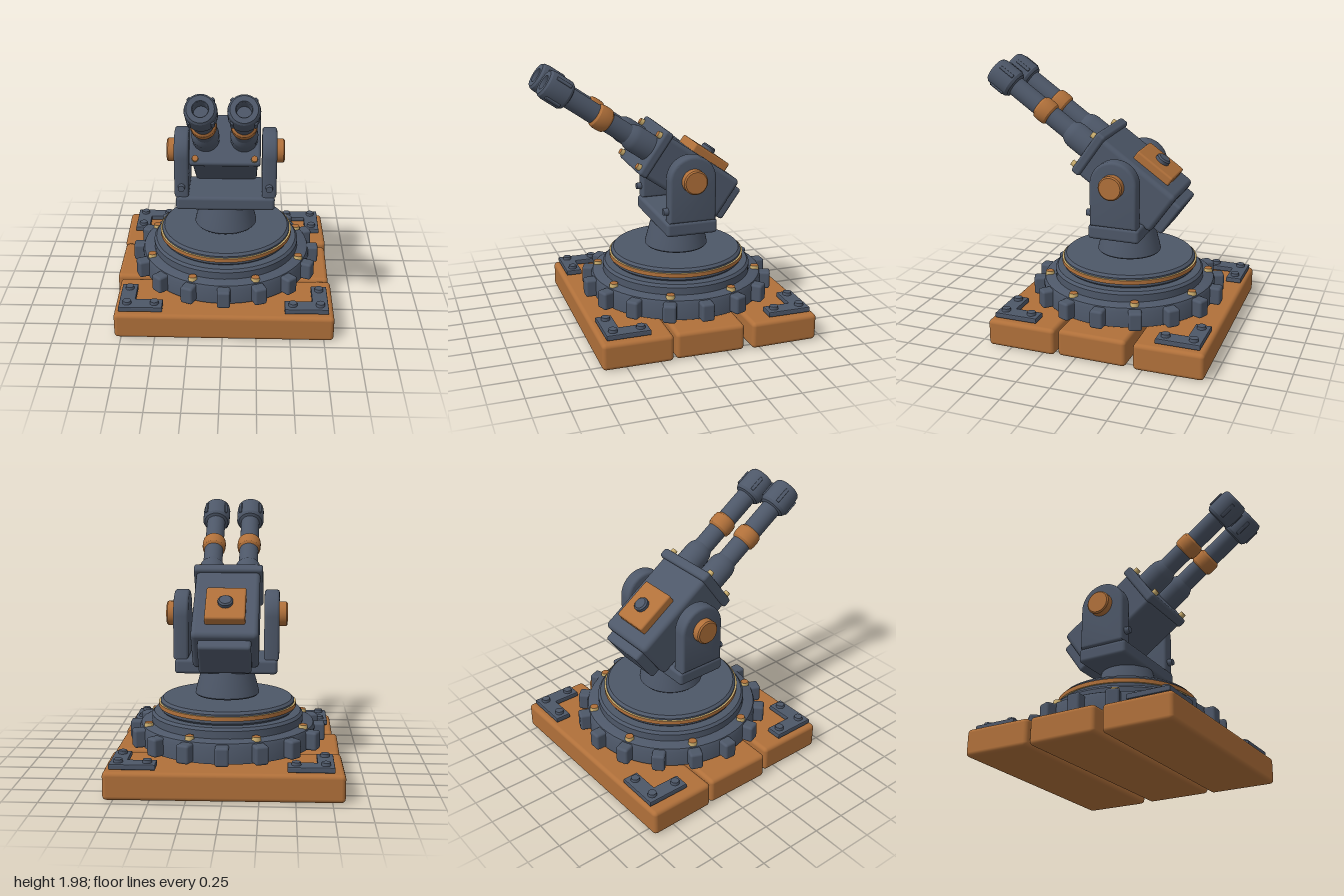
import * as THREE from 'three';
import { toCreasedNormals } from 'three/addons/utils/BufferGeometryUtils.js';
import { RoundedBoxGeometry } from 'three/addons/geometries/RoundedBoxGeometry.js';

const mat = (name, color) => {
  const m = new THREE.MeshStandardMaterial({ color });
  m.name = name;
  return m;
};

export function createModel() {
  const model = new THREE.Group();
  model.name = 'twinBarrelTurret';
  const slate = mat('slate metal', 0x4d5768);
  const copper = mat('copper brown', 0xb0703a);
  const gold = mat('gold edge', 0xcdb070);

  const add = (parent, name, geometry, material, x = 0, y = 0, z = 0) => {
    const mesh = new THREE.Mesh(geometry, material);
    mesh.name = name;
    mesh.position.set(x, y, z);
    parent.add(mesh);
    return mesh;
  };
  const group = (parent, name, x, y, z) => {
    const g = new THREE.Group();
    g.name = name;
    g.position.set(x, y, z);
    parent.add(g);
    return g;
  };
  const box = (w, h, d, r) => new RoundedBoxGeometry(w, h, d, 3, r);
  // Turned part: [radius, height] points from bottom to top
  const turned = (points, sides = 48) =>
    toCreasedNormals(new THREE.LatheGeometry(points.map(p => new THREE.Vector2(...p)), sides), 0.5);
  const bolt = (r, h) => new THREE.CylinderGeometry(r * 0.9, r, h, 12);
  const brass = [gold, copper, copper];

  // Plank floor, each plank slightly crooked
  const planks = [
    [-0.005, -0.68, 1.66, 0.51, 0.013],
    [-0.007, -0.133, 1.64, 0.515, -0.014],
    [0.012, 0.413, 1.62, 0.52, -0.005],
  ];
  for (const [x, z, w, d, turn] of planks)
    add(model, 'plank', box(w, 0.2, d, 0.03), copper, x, 0.105, z).rotation.y = turn;

  const turret = group(model, 'turret', 0.008, 0, -0.13);

  // Corner brackets with three bolts each
  for (const sx of [-1, 1]) for (const sz of [-1, 1]) {
    const bracket = group(turret, 'cornerBracket', sx * 0.772, 0.215, sz * 0.77 - 0.005);
    const L = [[0, 0], [0.322, 0], [0.322, 0.117], [0.117, 0.117], [0.117, 0.322], [0, 0.322]];
    const inset = 0.008;
    const shape = new THREE.Shape(L.map(([x, z]) => new THREE.Vector2(-sx * x, sz * z)));
    const plate = new THREE.ExtrudeGeometry(shape, {
      depth: 0.024, bevelEnabled: true, bevelThickness: inset, bevelSize: inset, bevelOffset: -inset, bevelSegments: 2,
    }).rotateX(-Math.PI / 2);
    add(bracket, 'bracketPlate', plate, slate, 0, 0.006, 0);
    for (const [x, z] of [[0.06, 0.06], [0.262, 0.06], [0.06, 0.262]])
      add(bracket, 'bracketBolt', bolt(0.034, 0.024), slate, -sx * x, 0.048, -sz * z);
  }

  // Toothed base ring
  add(turret, 'gearBody', turned([[0, 0.225], [0.655, 0.225], [0.655, 0.345], [0.645, 0.37], [0.625, 0.38], [0, 0.38]], 64), slate);
  for (let i = 0; i < 16; i++) {
    const a = (i / 16) * Math.PI * 2;
    const tooth = add(turret, 'gearTooth', box(0.098, 0.135, 0.16, 0.018), slate,
      Math.sin(a) * 0.65, 0.295, Math.cos(a) * 0.65);
    tooth.rotation.y = a;
  }
  for (let i = 0; i < 8; i++) {
    const a = ((i + 0.5) / 8) * Math.PI * 2;
    add(turret, 'ringBolt', bolt(0.034, 0.03), brass, Math.sin(a) * 0.61, 0.389, Math.cos(a) * 0.61);
  }

  // Stepped discs and trim ring
  add(turret, 'lowerDisc', turned([[0, 0.37], [0.565, 0.37], [0.565, 0.435], [0.548, 0.455], [0, 0.455]], 64), slate);
  add(turret, 'upperDisc', turned([[0, 0.45], [0.48, 0.45], [0.5, 0.47], [0.5, 0.535], [0.482, 0.553], [0, 0.553]], 64), slate);
  add(turret, 'trimRing', new THREE.CylinderGeometry(0.514, 0.514, 0.03, 64), [copper, gold, gold], 0, 0.507, 0);

  // Pedestal and yoke
  add(turret, 'pedestal', turned([[0, 0.575], [0.23, 0.575], [0.239, 0.585], [0.232, 0.62], [0.192, 0.77], [0, 0.77]]), slate);
  add(turret, 'yokeBase', box(0.75, 0.108, 0.39, 0.025), slate, 0, 0.814, 0);

  const armShape = new THREE.Shape();
  armShape.moveTo(-0.178, -0.315);
  armShape.lineTo(0.178, -0.315);
  armShape.lineTo(0.178, 0);
  armShape.absarc(0, 0, 0.178, 0, Math.PI, false);
  armShape.lineTo(-0.178, -0.315);
  const armGeometry = toCreasedNormals(new THREE.ExtrudeGeometry(armShape, {
    depth: 0.07, curveSegments: 24, bevelEnabled: true, bevelThickness: 0.02, bevelSize: 0.02, bevelOffset: -0.02, bevelSegments: 3,
  }).translate(0, 0, -0.035).rotateY(Math.PI / 2), 0.6);
  const capGeometry = turned([[0, -0.04], [0.09, -0.04], [0.09, 0.025], [0.08, 0.035], [0, 0.035]], 32).rotateZ(-Math.PI / 2);
  for (const s of [-1, 1]) {
    add(turret, 'yokeArm', armGeometry, slate, s * 0.331, 1.18, 0);
    const cap = add(turret, 'trunnionCap', capGeometry, copper, s * 0.411, 1.18, 0);
    if (s < 0) cap.rotation.y = Math.PI;
    add(turret, 'armBolt', bolt(0.028, 0.04).rotateX(Math.PI / 2), slate, s * 0.331, 0.95, 0.195);
  }

  // Gun head, tilted up about the trunnions
  const head = group(turret, 'gunHead', 0, 1.18, 0);
  head.rotation.x = -0.61;
  add(head, 'headBody', box(0.48, 0.347, 0.69, 0.035), slate, 0, -0.002, -0.057);
  add(head, 'frontPlate', box(0.52, 0.375, 0.075, 0.022), slate, 0, 0.011, 0.297);
  add(head, 'backPlate', box(0.38, 0.27, 0.1, 0.022), slate, 0, -0.015, -0.425);
  add(head, 'topHatch', box(0.29, 0.075, 0.325, 0.015), copper, 0, 0.198, -0.132);
  add(head, 'hatchKnob', turned([[0, 0.22], [0.055, 0.22], [0.055, 0.26], [0.043, 0.271], [0, 0.271]], 16), slate, 0, 0, -0.14);
  for (const s of [-1, 1]) for (const y of [-0.132, 0.142])
    add(head, 'plateBolt', bolt(0.025, 0.04).rotateX(Math.PI / 2), brass, s * 0.215, y, 0.345);

  // Twin barrels, turned along the head's forward axis
  const along = points => turned(points, 32).rotateX(Math.PI / 2);
  const sleeve = along([[0, 0.3], [0.1, 0.3], [0.1, 0.47], [0.094, 0.5], [0.074, 0.535]]);
  const tube = along([[0.074, 0.5], [0.074, 1.08]]);
  const band = along([[0.074, 0.7], [0.088, 0.715], [0.092, 0.74], [0.092, 0.78], [0.088, 0.805], [0.074, 0.82]]);
  const muzzle = along([[0.07, 1.045], [0.095, 1.055], [0.108, 1.075], [0.108, 1.2], [0.102, 1.235], [0.09, 1.25],
    [0.055, 1.25], [0.05, 1.24], [0.05, 1.12], [0, 1.12]]);
  for (const s of [-1, 1]) {
    const barrel = group(head, 'barrel', s * 0.139, 0.021, 0);
    add(barrel, 'barrelSleeve', sleeve, slate);
    add(barrel, 'barrelTube', tube, slate);
    add(barrel, 'barrelBand', band, copper);
    add(barrel, 'muzzle', muzzle, slate);
    for (let i = 0; i < 4; i++) {
      const a = (i + 0.5) * Math.PI / 2;
      const rib = add(barrel, 'muzzleRib', box(0.026, 0.03, 0.12, 0.006), slate,
        Math.cos(a) * 0.103, Math.sin(a) * 0.103, 1.145);
      rib.rotation.z = a - Math.PI / 2;
    }
  }
  return model;
}
